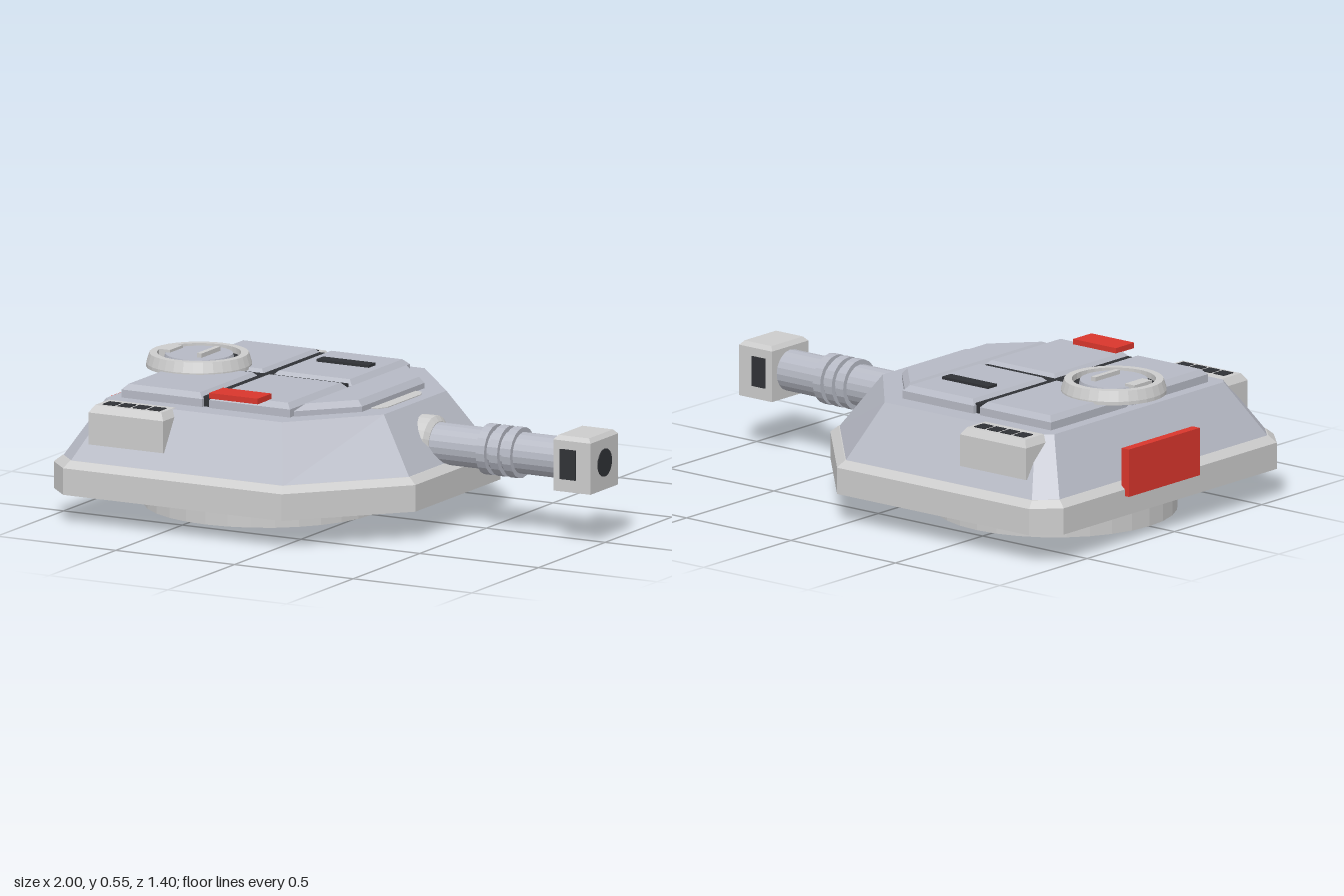
import * as THREE from 'three';

const mat = (color) => new THREE.MeshStandardMaterial({ color, flatShading: true });

// Outline given as [x, z] points for the +z half, back to front; mirrored to the other side
const mirrorOutline = (half) => [...half, ...half.map(([x, z]) => [x, -z]).reverse()];
const rect = (x0, x1, z0, z1) => [[x0, z1], [x1, z1], [x1, z0], [x0, z0]];

// Moves every edge of a convex outline inwards by k
function inset(pts, k) {
  const n = pts.length;
  const normal = (a, b) => {
    const l = Math.hypot(b[0] - a[0], b[1] - a[1]);
    return [(b[1] - a[1]) / l, -(b[0] - a[0]) / l];
  };
  return pts.map((p, i) => {
    const u = normal(pts[(i + n - 1) % n], p), v = normal(p, pts[(i + 1) % n]);
    const s = k / (1 + u[0] * v[0] + u[1] * v[1]);
    return [p[0] + (u[0] + v[0]) * s, p[1] + (u[1] + v[1]) * s];
  });
}

// Closed solid through a stack of [y, outline] levels
function loft(levels) {
  const n = levels[0][1].length, pos = [], idx = [];
  for (const [y, pts] of levels) for (const [x, z] of pts) pos.push(x, y, z);
  for (let l = 0; l < levels.length - 1; l++) {
    for (let i = 0; i < n; i++) {
      const a = l * n + i, b = l * n + (i + 1) % n;
      idx.push(a, b, b + n, a, b + n, a + n);
    }
  }
  const top = (levels.length - 1) * n;
  for (let i = 1; i < n - 1; i++) idx.push(top, top + i, top + i + 1, 0, i + 1, i);
  const g = new THREE.BufferGeometry();
  g.setAttribute('position', new THREE.Float32BufferAttribute(pos, 3));
  g.setIndex(idx);
  const flat = g.toNonIndexed();
  flat.computeVertexNormals();
  return flat;
}

// Slab with a bevelled upper rim
const slab = (pts, y0, y1, y2, bevel) => loft([[y0, pts], [y1, pts], [y2, inset(pts, bevel)]]);

export function createModel() {
  const model = new THREE.Group();
  const grey = mat(0xcccccc), armour = mat(0xb6b9c4), dark = mat(0x303236), red = mat(0xd9362c);

  const add = (name, geometry, material, parent = model) => {
    const m = new THREE.Mesh(geometry, material);
    m.name = name;
    parent.add(m);
    return m;
  };
  // Box from its limits on each axis
  const box = (name, x0, x1, y0, y1, z0, z1, material, parent) => {
    const m = add(name, new THREE.BoxGeometry(x1 - x0, y1 - y0, z1 - z0), material, parent);
    m.position.set((x0 + x1) / 2, (y0 + y1) / 2, (z0 + z1) / 2);
    return m;
  };

  // Turret ring
  add('turretRing', new THREE.CylinderGeometry(0.45, 0.45, 0.11, 32), grey).position.set(-0.43, 0.055, 0);

  // Skirt and sloped hull
  const skirt = mirrorOutline([[-0.98, 0.61], [-0.89, 0.7], [0.03, 0.7], [0.38, 0.32]]);
  const roof = mirrorOutline([[-0.83, 0.485], [-0.78, 0.535], [-0.06, 0.535], [0.2, 0.235]]);
  add('skirt', slab(skirt, 0.11, 0.21, 0.235, 0.03), grey);
  add('hull', loft([[0.23, inset(skirt, 0.03)], [0.44, roof]]), armour);

  // Roof panels with dark seams between them
  for (const [x0, x1] of [[-0.785, -0.445], [-0.415, -0.075]]) {
    for (const [z0, z1] of [[-0.45, -0.015], [0.015, 0.45]]) {
      add('roofPanel', slab(rect(x0, x1, z0, z1), 0.435, 0.47, 0.49, 0.02), armour);
    }
  }
  box('longSeam', -0.448, -0.412, 0.435, 0.478, -0.435, 0.435, dark);
  box('crossSeam', -0.77, -0.09, 0.435, 0.478, -0.018, 0.018, dark);

  // Front roof plate and the small strip ahead of it
  add('frontPlate', slab(mirrorOutline([[-0.07, 0.43], [0.108, 0.235]]), 0.435, 0.46, 0.482, 0.02), armour);
  add('frontStrip', loft([0.435, 0.443].map((y) => [y, mirrorOutline([[0.1, 0.17], [0.135, 0.165], [0.155, 0.125]])])), grey);

  // Roof fittings and rear panel
  box('roofSlot', -0.35, -0.13, 0.485, 0.5, -0.29, -0.24, dark);
  box('roofMarker', -0.385, -0.18, 0.489, 0.51, 0.4, 0.505, red);
  box('rearPanel', -1, -0.965, 0.185, 0.365, -0.26, 0.145, red);

  // Hatch: chamfered ring, dark channel, lid, hinge and handle
  const hatch = new THREE.Group();
  hatch.name = 'hatch';
  hatch.position.x = -0.71;
  model.add(hatch);
  const ring = [[0, 0.482], [0.195, 0.482], [0.195, 0.495], [0.183, 0.533], [0.155, 0.533], [0.155, 0.505]];
  add('hatchRing', new THREE.LatheGeometry(ring.map((p) => new THREE.Vector2(...p)), 32), grey, hatch);
  add('hatchChannel', new THREE.CylinderGeometry(0.156, 0.156, 0.02, 32), dark, hatch).position.y = 0.5;
  add('hatchLid', new THREE.CylinderGeometry(0.125, 0.132, 0.03, 32), armour, hatch).position.y = 0.515;
  box('hatchHinge', -0.14, -0.095, 0.505, 0.54, -0.05, 0.05, grey, hatch);
  box('hatchHandle', 0.03, 0.05, 0.525, 0.546, -0.07, 0.07, grey, hatch);

  // Side vent boxes with four dark slots each
  for (const side of [-1, 1]) {
    const vent = new THREE.Group();
    vent.name = side > 0 ? 'leftVent' : 'rightVent';
    model.add(vent);
    const z = side * 0.565;
    add('ventBox', slab(rect(-0.82, -0.505, z - 0.07, z + 0.07), 0.295, 0.415, 0.442, 0.018), grey, vent);
    for (let i = 0; i < 4; i++) {
      const x = -0.755 + i * 0.063;
      box('ventSlot', x - 0.025, x + 0.025, 0.43, 0.445, side * 0.573 - 0.027, side * 0.573 + 0.027, dark, vent);
    }
  }

  // Barrel along +x, built around its own axis
  const gun = new THREE.Group();
  gun.name = 'gun';
  gun.position.y = 0.3;
  model.add(gun);
  const tube = (name, x0, x1, r0, r1, material, sides = 20) => {
    const m = add(name, new THREE.CylinderGeometry(r1, r0, x1 - x0, sides), material, gun);
    m.rotation.z = -Math.PI / 2;
    m.position.x = (x0 + x1) / 2;
  };
  tube('collar', 0.18, 0.285, 0.1, 0.1, grey);
  tube('collarRim', 0.285, 0.3, 0.1, 0.08, grey);
  tube('barrel', 0.2, 0.86, 0.077, 0.077, armour);
  for (const x of [0.525, 0.58, 0.635]) tube('barrelBand', x - 0.018, x + 0.018, 0.095, 0.095, armour);

  // Muzzle block with side ports and a dark bore
  const block = rect(0.84, 0.997, -0.104, 0.104);
  add('muzzleBlock', loft([[-0.102, block], [0.09, block], [0.106, inset(block, 0.014)]]), grey, gun);
  box('muzzlePorts', 0.87, 0.935, -0.055, 0.058, -0.109, 0.109, dark, gun);
  tube('bore', 0.95, 1, 0.053, 0.053, dark, 16);

  return model;
}
